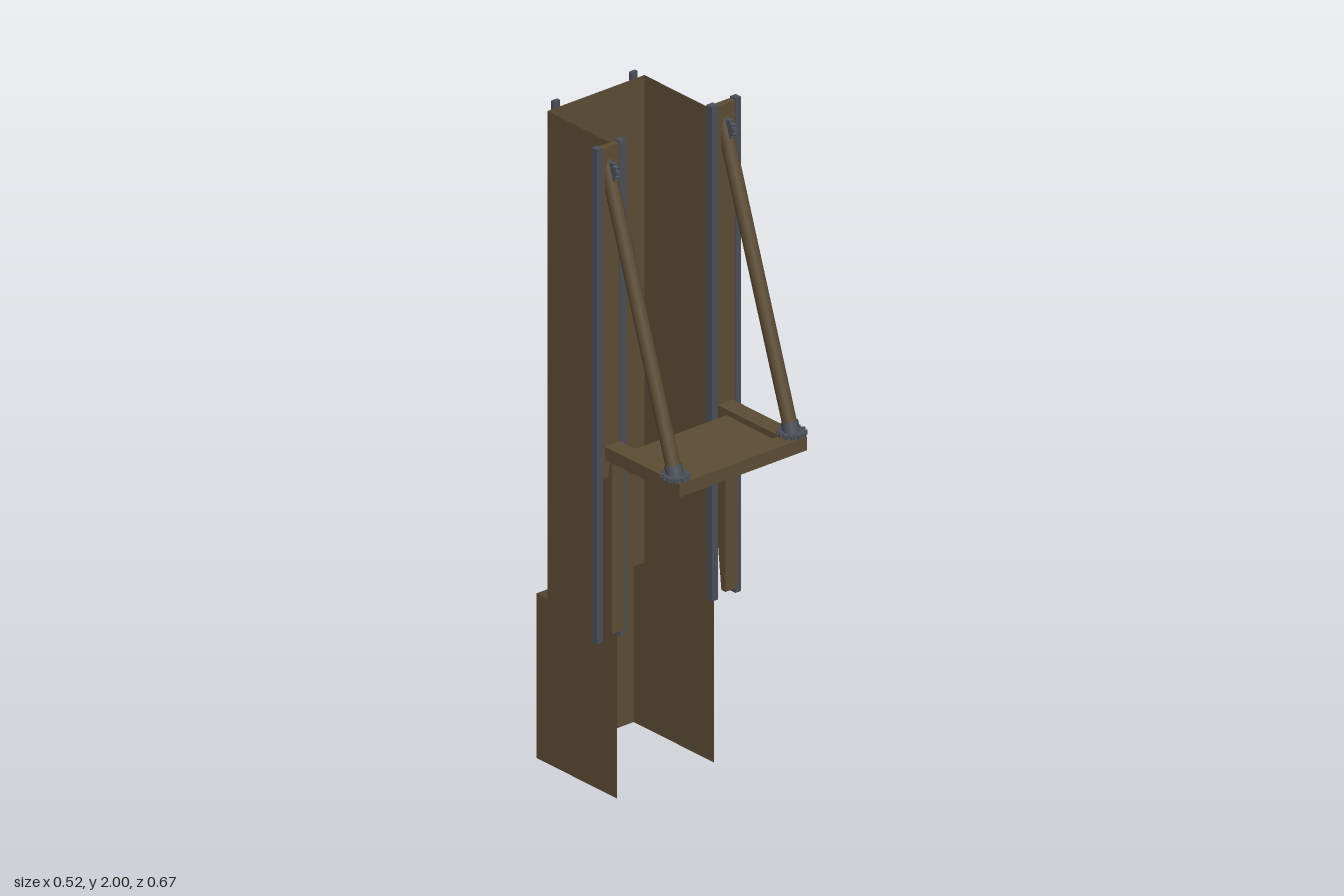
import * as THREE from 'three';

const wood = new THREE.MeshStandardMaterial({ color: 0x5c4c34, side: THREE.DoubleSide });
wood.name = 'brown timber';
const steel = new THREE.MeshStandardMaterial({ color: 0x4b4f57 });
steel.name = 'grey steel';

function add(parent, name, geometry, material) {
  const mesh = new THREE.Mesh(geometry, material);
  mesh.name = name;
  parent.add(mesh);
  return mesh;
}

// box given by its low and high corners
function box(parent, name, material, [x0, y0, z0], [x1, y1, z1]) {
  const mesh = add(parent, name, new THREE.BoxGeometry(x1 - x0, y1 - y0, z1 - z0), material);
  mesh.position.set((x0 + x1) / 2, (y0 + y1) / 2, (z0 + z1) / 2);
  return mesh;
}

// upright sheet facing z or x
function sheet(parent, name, w, h, x, y, z, turn = 0) {
  const mesh = add(parent, name, new THREE.PlaneGeometry(w, h), wood);
  mesh.position.set(x, y, z);
  mesh.rotation.y = turn;
}

// toothed disc, centred, axis along z
function gearGeometry(radius, teeth, depth) {
  const shape = new THREE.Shape();
  for (let i = 0; i < teeth; i++) {
    [[0, 0.84], [0.45, 0.84], [0.55, 1], [0.9, 1]].forEach(([t, r], k) => {
      const a = ((i + t) / teeth) * Math.PI * 2;
      const x = Math.cos(a) * r * radius, y = Math.sin(a) * r * radius;
      if (i + k === 0) shape.moveTo(x, y); else shape.lineTo(x, y);
    });
  }
  return new THREE.ExtrudeGeometry(shape, { depth, bevelEnabled: false }).translate(0, 0, -depth / 2);
}

// cylinder running between two points
function rod(parent, name, material, a, b, radius, sides) {
  const dir = b.clone().sub(a);
  const mesh = add(parent, name, new THREE.CylinderGeometry(radius, radius, dir.length(), sides), material);
  mesh.position.copy(a).add(b).multiplyScalar(0.5);
  mesh.quaternion.setFromUnitVectors(new THREE.Vector3(0, 1, 0), dir.normalize());
}

export function createModel() {
  const model = new THREE.Group();
  model.name = 'liftTower';

  // open-fronted shaft of thin sheets, with a deeper foot
  const shaft = new THREE.Group();
  shaft.name = 'shaft';
  model.add(shaft);
  sheet(shaft, 'upperBackWall', 0.35, 1.48, 0, 1.24, -0.288);
  sheet(shaft, 'lowerBackWall', 0.35, 0.5, 0, 0.25, -0.333);

  // platform front beam and recessed deck
  box(model, 'platformFrontBeam', wood, [-0.23, 1.05, 0.278], [0.23, 1.09, 0.332]);
  box(model, 'platformDeck', wood, [-0.176, 1.062, 0.055], [0.176, 1.072, 0.278]);

  for (const s of [1, -1]) {
    const side = new THREE.Group();
    side.name = s > 0 ? 'leftSide' : 'rightSide';
    model.add(side);
    const span = (name, mat, x0, x1, y0, y1, z0, z1) =>
      box(side, name, mat, [Math.min(s * x0, s * x1), y0, z0], [Math.max(s * x0, s * x1), y1, z1]);

    sheet(side, 'upperSideWall', 0.293, 1.48, s * 0.175, 1.24, -0.1415, s * Math.PI / 2);
    sheet(side, 'lowerSideWall', 0.338, 0.5, s * 0.175, 0.25, -0.164, s * Math.PI / 2);

    // guide rails
    span('innerGuideRail', steel, 0.154, 0.177, 0.5, 2, -0.003, 0.02);
    span('outerGuideRail', steel, 0.239, 0.26, 0.5, 2, -0.003, 0.02);
    span('backRail', steel, 0.129, 0.151, 1, 2, -0.3, -0.289);
    span('guidePlate', wood, 0.177, 0.239, 0.995, 1.995, -0.002, 0.018);

    // platform side beam
    span('platformSideBeam', wood, 0.176, 0.23, 1.05, 1.09, -0.011, 0.278);

    // hanging bracket with a bowed back edge
    const profile = new THREE.Shape();
    [[0.045, 1.05], [0.045, 0.53], [0.028, 0.53], [0.012, 0.68], [0.006, 0.79], [0.012, 0.9], [0.036, 1.05]]
      .forEach(([z, y], i) => (i ? profile.lineTo(-z, y) : profile.moveTo(-z, y)));
    const bracket = new THREE.ExtrudeGeometry(profile, { depth: 0.045, bevelEnabled: false });
    bracket.translate(0, 0, -0.0225).rotateY(Math.PI / 2);
    add(side, 'hangingBracket', bracket, wood).position.x = s * 0.204;

    // diagonal brace with steel collar and base gear
    const x = s * 0.21;
    const foot = new THREE.Vector3(x, 1.09, 0.292);
    const head = new THREE.Vector3(x, 1.96, -0.004);
    rod(side, 'diagonalBrace', wood, foot, head, 0.021, 12);
    rod(side, 'braceCollar', steel, foot, foot.clone().lerp(head, 0.04), 0.025, 12);
    const gear = add(side, 'baseGear', gearGeometry(0.042, 12, 0.012), steel);
    gear.rotation.x = -Math.PI / 2;
    gear.position.set(x, 1.096, 0.292);

    // small wheel at the brace head
    const wheel = add(side, 'headGear', gearGeometry(0.031, 12, 0.014), steel);
    wheel.rotation.y = Math.PI / 2;
    wheel.position.set(x, 1.922, 0.023);
  }
  return model;
}
